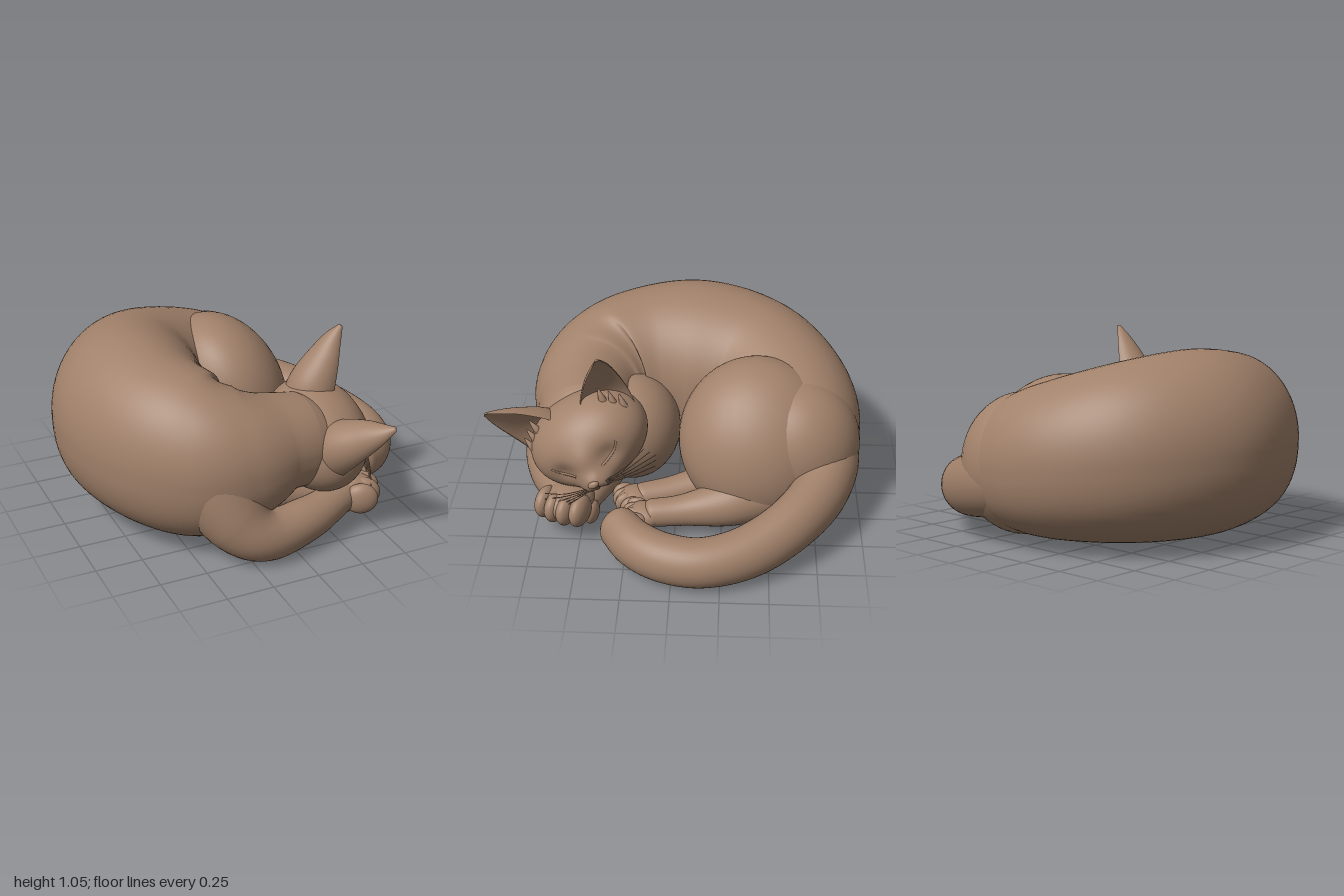
import * as THREE from 'three';
import { mergeVertices } from 'three/addons/utils/BufferGeometryUtils.js';

const V = (x, y, z) => new THREE.Vector3(x, y, z);
const fur = new THREE.MeshStandardMaterial({ color: 0xa1816a });
fur.name = 'brown fur';

function add(parent, name, geometry) {
  const mesh = new THREE.Mesh(geometry, fur);
  mesh.name = name;
  parent.add(mesh);
  return mesh;
}

// Rounded sweep through stations [x, y, z, half width, half height].
// 'up' sets the height direction, 'low' shapes the lower half of each section.
function sweep(stations, { up = V(0, 1, 0), low = (s) => s, steps = 48, sides = 40, cap = 0.6 } = {}) {
  const path = new THREE.CatmullRomCurve3(stations.map((s) => V(s[0], s[1], s[2])), false, 'catmullrom');
  const size = new THREE.CatmullRomCurve3(stations.map((s) => V(s[3], s[4] ?? s[3], 0)), false, 'catmullrom');
  const rings = [];
  const capSteps = 8;
  for (let k = 0; k < capSteps; k++) rings.push([0, (k / capSteps) * Math.PI / 2, -1]);
  for (let i = 0; i <= steps; i++) rings.push([i / steps, Math.PI / 2, 0]);
  for (let k = capSteps - 1; k >= 0; k--) rings.push([1, (k / capSteps) * Math.PI / 2, 1]);

  const positions = [], index = [];
  rings.forEach(([t, angle, end], i) => {
    const r = size.getPoint(t), tangent = path.getTangent(t);
    const side = tangent.clone().cross(up).normalize();
    const over = side.clone().cross(tangent);
    const scale = Math.max(Math.sin(angle), 0.002);
    const centre = path.getPoint(t).addScaledVector(tangent, end * Math.cos(angle) * cap * Math.min(r.x, r.y));
    for (let j = 0; j < sides; j++) {
      const a = (j / sides) * Math.PI * 2, s = Math.sin(a);
      const p = centre.clone().addScaledVector(side, r.x * scale * Math.cos(a))
        .addScaledVector(over, r.y * scale * (s < 0 ? low(s) : s));
      positions.push(p.x, p.y, p.z);
      if (i === rings.length - 1) continue;
      const n = (j + 1) % sides, q = i * sides;
      index.push(q + j, q + sides + j, q + n, q + sides + j, q + sides + n, q + n);
    }
  });
  const g = new THREE.BufferGeometry();
  g.setAttribute('position', new THREE.Float32BufferAttribute(positions, 3));
  g.setIndex(index);
  g.computeVertexNormals();
  return g;
}

function ellipsoid(parent, name, at, radii) {
  const mesh = add(parent, name, new THREE.SphereGeometry(1, 40, 28));
  mesh.position.set(...at);
  mesh.scale.set(...radii);
  return mesh;
}

// Paw with four toes pointing along its own +x
function paw(parent, name, at, yaw, size) {
  const g = new THREE.Group();
  g.name = name;
  g.position.set(...at);
  g.rotation.y = yaw;
  g.scale.setScalar(size);
  ellipsoid(g, 'pawPad', [0, 0, 0], [0.12, 0.07, 0.1]);
  for (let i = 0; i < 4; i++) {
    const z = (i - 1.5) * 0.053;
    ellipsoid(g, 'toe', [0.07 - Math.abs(i - 1.5) * 0.014, -0.005, z], [0.07, 0.066, 0.037]);
  }
  parent.add(g);
}

// Head surface: an egg with a muzzle, a nose, cheeks and shallow eye hollows
const bump = (x, y, cx, cy, w) => Math.exp(-((x - cx) ** 2 + (y - cy) ** 2) / (w * w));
function skin(d) {
  const p = V(d.x * 0.33, d.y * 0.245, d.z * 0.265);
  if (d.z > 0) {
    const ax = Math.abs(p.x), front = Math.min(1, d.z * 1.6);
    p.z += front * (0.075 * bump(ax, p.y, 0.02, -0.13, 0.09) + 0.025 * bump(ax, p.y, 0.05, -0.15, 0.045)
      + 0.02 * bump(ax, p.y, 0, -0.09, 0.035) + 0.02 * bump(ax, p.y, 0, 0.02, 0.07)
      - 0.03 * bump(ax, p.y, 0.13, -0.03, 0.06) - 0.02 * bump(ax, p.y, 0, -0.165, 0.018));
  }
  return p;
}
const onFace = (x, y) => {
  const dx = x / 0.33, dy = y / 0.245;
  return skin(V(dx, dy, Math.sqrt(Math.max(0, 1 - dx * dx - dy * dy))));
};
const thread = (points, r) => new THREE.TubeGeometry(new THREE.CatmullRomCurve3(points), 16, r, 6);

function buildHead() {
  const head = new THREE.Group();
  head.name = 'head';
  head.position.set(0.25, 0.5, 0.46);
  // Faces +x, rolled over toward the front
  head.quaternion.setFromRotationMatrix(
    new THREE.Matrix4().makeBasis(V(0, 0.49, -0.872), V(0, 0.872, 0.49), V(1, 0, 0)));

  let skull = new THREE.SphereGeometry(1, 96, 72);
  skull.deleteAttribute('uv');
  skull.deleteAttribute('normal');
  skull = mergeVertices(skull, 1e-5);
  const pos = skull.attributes.position;
  for (let i = 0; i < pos.count; i++) {
    const p = skin(V(pos.getX(i), pos.getY(i), pos.getZ(i)));
    pos.setXYZ(i, p.x, p.y, p.z);
  }
  skull.computeVertexNormals();
  add(head, 'skull', skull);
  const n = onFace(0, -0.105);
  ellipsoid(head, 'nose', [0, -0.105, n.z - 0.002], [0.03, 0.02, 0.018]);

  for (const s of [-1, 1]) {
    // Cupped ear, broad at the base and open to the front
    add(head, 'ear', sweep([
      [0.17 * s, 0.07, 0.03, 0.15, 0.17], [0.21 * s, 0.17, 0.05, 0.135, 0.145],
      [0.26 * s, 0.28, 0.09, 0.1, 0.095], [0.305 * s, 0.37, 0.13, 0.058, 0.052],
      [0.335 * s, 0.44, 0.17, 0.014, 0.014],
    ], { up: V(-0.3 * s, 0, -1).normalize(), low: (v) => -0.55 * v, steps: 28, cap: 0.3 }));
    // Fur at the mouth of the ear
    for (let i = 0; i < 3; i++) {
      const x = (0.19 + i * 0.04) * s, y = 0.17 - i * 0.04;
      add(head, 'earTuft', sweep([[x, y - 0.05, 0.05, 0.028], [x + 0.01 * s, y + 0.02, 0.055, 0.02],
        [x + 0.02 * s, y + 0.08, 0.05, 0.004]], { up: V(0, 0, 1), steps: 8, sides: 10 }));
    }
    // Closed eyelid and mouth line
    add(head, 'eyelid', thread([[0.075, -0.055], [0.11, -0.05], [0.155, -0.03], [0.195, 0.015]]
      .map(([x, y]) => onFace(x * s, y)), 0.007));
    add(head, 'mouth', thread([[0.002, -0.16], [0.03, -0.185], [0.07, -0.18]]
      .map(([x, y]) => onFace(x * s, y)), 0.005));
    for (let i = 0; i < 5; i++) {
      const k = i - 2;
      add(head, 'whisker', thread([onFace(0.06 * s, -0.14 + k * 0.008),
        V(0.19 * s, -0.145 + k * 0.016, 0.27), V((0.34 - Math.abs(k) * 0.02) * s, -0.15 + k * 0.03, 0.22)], 0.0025));
    }
  }
  return head;
}

export function createModel() {
  const cat = new THREE.Group();
  cat.name = 'sleepingCat';

  // Curled body from rump round to neck, flatter underneath
  add(cat, 'body', sweep([
    [0.2, 0.4, -0.62, 0.25, 0.3], [0.06, 0.42, -0.64, 0.35, 0.37], [-0.2, 0.46, -0.58, 0.39, 0.42],
    [-0.44, 0.5, -0.4, 0.41, 0.46], [-0.55, 0.52, -0.1, 0.43, 0.48], [-0.52, 0.51, 0.2, 0.39, 0.46],
    [-0.38, 0.49, 0.42, 0.35, 0.43], [-0.2, 0.5, 0.5, 0.31, 0.355], [0.0, 0.52, 0.5, 0.26, 0.26],
    [0.14, 0.51, 0.49, 0.24, 0.24], [0.22, 0.51, 0.48, 0.21, 0.21],
  ], { low: (s) => -Math.pow(-s, 0.82), steps: 90, sides: 64 }));
  ellipsoid(cat, 'chest', [-0.1, 0.36, 0.26], [0.29, 0.3, 0.27]);

  // Hind leg nearest the tail, leaning in over the body
  ellipsoid(cat, 'thigh', [0.13, 0.44, -0.43], [0.315, 0.44, 0.42]).rotation.z = 0.45;
  ellipsoid(cat, 'hip', [0.11, 0.41, -0.64], [0.32, 0.37, 0.345]);
  add(cat, 'hindFoot', sweep([[0.28, 0.22, -0.5, 0.17], [0.37, 0.18, -0.28, 0.13], [0.41, 0.15, -0.05, 0.085],
    [0.43, 0.14, 0.12, 0.075]]));
  paw(cat, 'hindPaw', [0.43, 0.13, 0.16], -Math.PI / 2, 0.9);
  // Hind leg tucked underneath
  add(cat, 'hindFoot', sweep([[0.0, 0.18, -0.4, 0.14], [0.12, 0.15, -0.2, 0.11], [0.2, 0.13, 0.0, 0.085],
    [0.25, 0.12, 0.18, 0.075]]));
  paw(cat, 'hindPaw', [0.26, 0.12, 0.22], -1.2, 0.9);

  // Forelegs folded under the chin
  add(cat, 'foreleg', sweep([
    [-0.4, 0.66, 0.4, 0.26], [-0.37, 0.45, 0.53, 0.25], [-0.29, 0.23, 0.67, 0.185], [-0.16, 0.14, 0.74, 0.135],
    [0.08, 0.15, 0.7, 0.115], [0.26, 0.175, 0.64, 0.095], [0.38, 0.19, 0.59, 0.08],
  ], { up: V(0, 0, 1) }));
  paw(cat, 'forePaw', [0.39, 0.19, 0.565], -0.4, 1.3);
  add(cat, 'foreleg', sweep([[-0.15, 0.22, 0.34, 0.15], [0.08, 0.17, 0.4, 0.11], [0.24, 0.15, 0.45, 0.085],
    [0.32, 0.14, 0.48, 0.075]]));
  paw(cat, 'forePaw', [0.34, 0.125, 0.5], -0.3, 0.95);

  add(cat, 'tail', sweep([
    [-0.12, 0.4, -0.68, 0.17, 0.18], [0.12, 0.35, -0.8, 0.18, 0.2], [0.37, 0.28, -0.77, 0.15, 0.17],
    [0.61, 0.23, -0.62, 0.135, 0.15], [0.78, 0.17, -0.4, 0.13, 0.14], [0.855, 0.145, -0.17, 0.125, 0.13],
    [0.825, 0.145, 0.03, 0.125, 0.128], [0.735, 0.155, 0.18, 0.12, 0.125], [0.62, 0.17, 0.275, 0.108, 0.12],
  ], { steps: 72, cap: 0.8 }));

  cat.add(buildHead());
  return cat;
}
